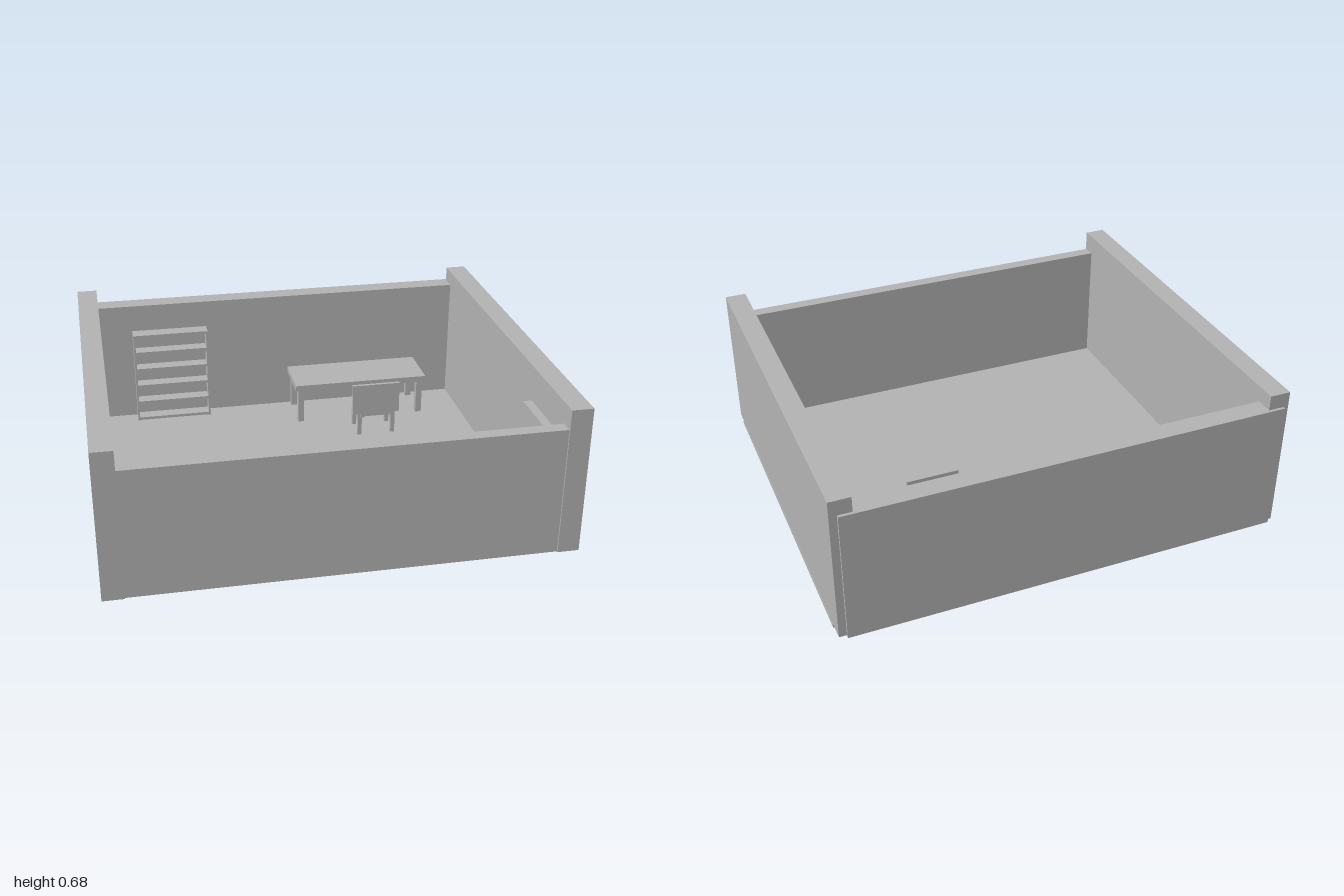
import * as THREE from 'three';

const grey = new THREE.MeshStandardMaterial({ color: 0xb2b2b2 });
grey.name = 'plain grey';

// Box given by its minimum and maximum on each axis
function box(parent, name, [x0, x1], [y0, y1], [z0, z1]) {
  const geometry = new THREE.BoxGeometry(x1 - x0, y1 - y0, z1 - z0);
  const mesh = new THREE.Mesh(geometry, grey);
  mesh.name = name;
  mesh.position.set((x0 + x1) / 2, (y0 + y1) / 2, (z0 + z1) / 2);
  parent.add(mesh);
  return mesh;
}

function group(parent, name) {
  const g = new THREE.Group();
  g.name = name;
  parent.add(g);
  return g;
}

// Four square legs at the corners of a rectangle
function legs(parent, name, [x0, x1], [y0, y1], [z0, z1], t) {
  for (const x of [x0, x1 - t])
    for (const z of [z0, z1 - t]) box(parent, name, [x, x + t], [y0, y1], [z, z + t]);
}

export function createModel() {
  const room = new THREE.Group();
  room.name = 'room';
  const floorY = 0.016;

  // Floor and walls
  box(room, 'floor', [-0.998, 1], [0, floorY], [-0.785, 0.812]);
  box(room, 'rightWall', [-1, -0.907], [0.015, 0.68], [-0.862, 0.873]);
  box(room, 'leftWall', [0.904, 0.998], [0.015, 0.68], [-0.862, 0.873]);
  box(room, 'backWall', [-0.977, 0.965], [0.01, 0.612], [-0.875, -0.785]);
  box(room, 'frontWall', [-0.95, 0.95], [0.015, 0.59], [0.808, 0.866]);

  // Bookcase against the back wall
  const bookcase = group(room, 'bookcase');
  const top = 0.48, board = 0.014;
  box(bookcase, 'bookcaseSide', [-0.747, -0.738], [floorY, top], [-0.785, -0.712]);
  box(bookcase, 'bookcaseSide', [-0.384, -0.375], [floorY, top], [-0.785, -0.712]);
  box(bookcase, 'bookcaseBack', [-0.738, -0.384], [floorY, top], [-0.785, -0.779]);
  for (let i = 0; i < 6; i++) {
    const y = floorY + (i * (top - floorY - board)) / 5;
    box(bookcase, 'shelf', [-0.738, -0.384], [y, y + board], [-0.779, -0.716]);
  }

  // Desk
  const desk = group(room, 'desk');
  box(desk, 'deskTop', [0.042, 0.716], [0.19, 0.22], [-0.785, -0.535]);
  legs(desk, 'deskLeg', [0.055, 0.703], [floorY, 0.19], [-0.775, -0.545], 0.03);

  // Chair facing the desk
  const chair = group(room, 'chair');
  box(chair, 'seat', [0.32, 0.508], [0.115, 0.135], [-0.485, -0.345]);
  box(chair, 'chairBack', [0.29, 0.525], [0.135, 0.29], [-0.348, -0.332]);
  legs(chair, 'chairLeg', [0.32, 0.508], [floorY, 0.115], [-0.485, -0.345], 0.02);
  for (const x of [0.33, 0.478])
    box(chair, 'backSupport', [x, x + 0.02], [0.115, 0.14], [-0.348, -0.334]);

  // Door on the left wall, with its handle
  const door = group(room, 'door');
  box(door, 'doorPanel', [0.865, 0.91], [floorY, 0.525], [0.447, 0.814]);
  box(door, 'doorHandle', [0.854, 0.86], [0.245, 0.26], [0.512, 0.56]);
  box(door, 'handleStem', [0.858, 0.868], [0.245, 0.26], [0.512, 0.524]);

  return room;
}
